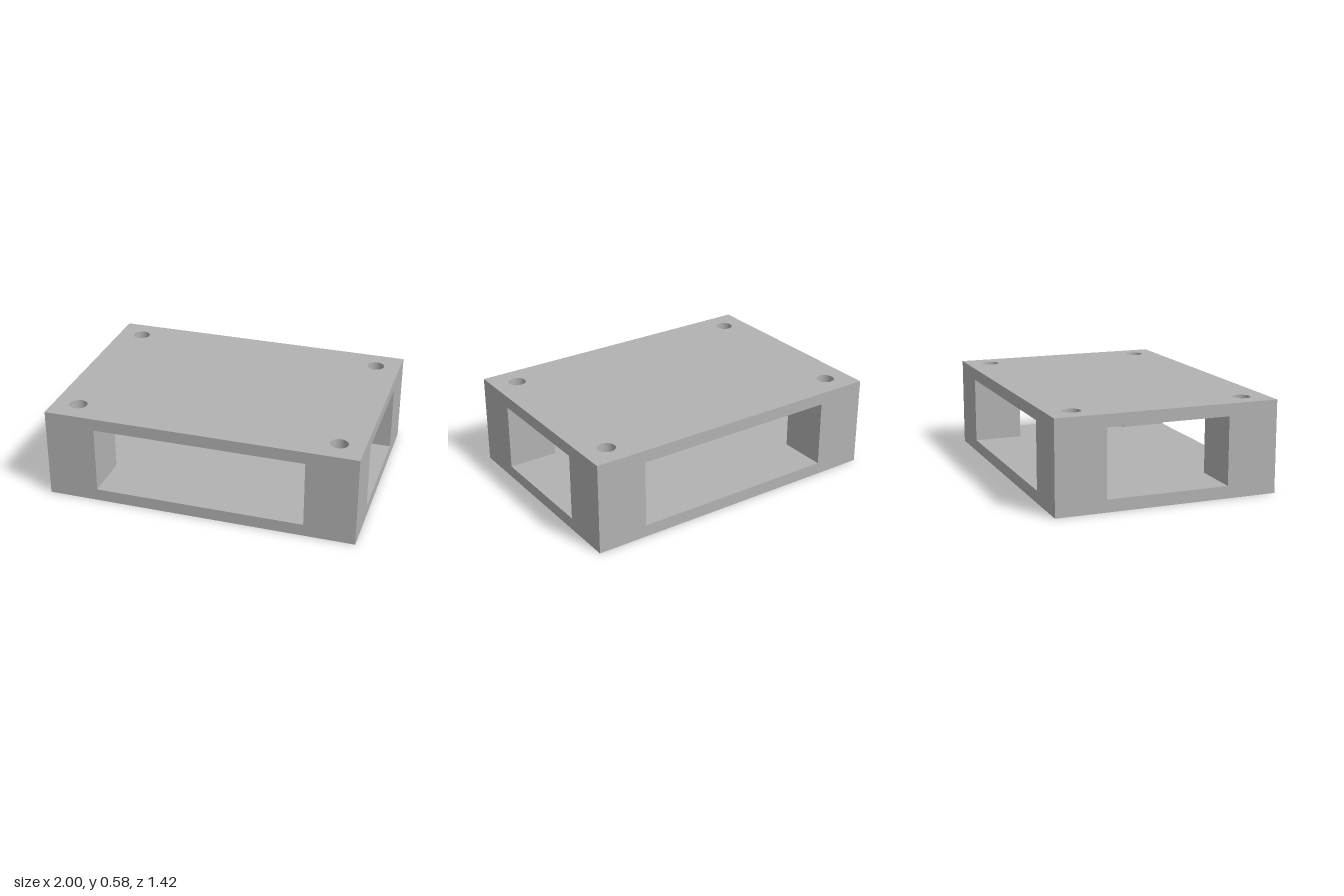
import * as THREE from 'three';

const HALF_X = 1, HALF_Z = 0.71, HEIGHT = 0.585, PLATE = 0.078;
const OPEN_X = 0.675, OPEN_Z = 0.39; // half widths of the window openings
const HOLE_X = 0.84, HOLE_Z = 0.55, HOLE_R = 0.056;

// Rectangle in plan with round holes, extruded upwards from y = 0
function drilledSlab(x0, x1, z0, z1, holes, height) {
  const shape = new THREE.Shape();
  shape.moveTo(x0, z0).lineTo(x1, z0).lineTo(x1, z1).lineTo(x0, z1).closePath();
  for (const [x, z] of holes) {
    const hole = new THREE.Path();
    hole.absarc(x, z, HOLE_R, 0, Math.PI * 2, true);
    shape.holes.push(hole);
  }
  const geometry = new THREE.ExtrudeGeometry(shape, { depth: height, bevelEnabled: false, curveSegments: 32 });
  return geometry.rotateX(-Math.PI / 2);
}

export function createModel() {
  const group = new THREE.Group();
  group.name = 'spacerBlock';
  const grey = new THREE.MeshStandardMaterial({ color: 0xb2b2b2 });
  grey.name = 'plain grey';

  const add = (name, geometry, y) => {
    const mesh = new THREE.Mesh(geometry, grey);
    mesh.name = name;
    mesh.position.y = y;
    group.add(mesh);
  };

  const corners = [[-1, -1], [1, -1], [1, 1], [-1, 1]];
  const holes = corners.map(([sx, sz]) => [sx * HOLE_X, sz * HOLE_Z]);

  // Bottom and top plates with a bolt hole at each corner
  add('bottomPlate', drilledSlab(-HALF_X, HALF_X, -HALF_Z, HALF_Z, holes, PLATE), 0);
  add('topPlate', drilledSlab(-HALF_X, HALF_X, -HALF_Z, HALF_Z, holes, PLATE), HEIGHT - PLATE);

  // Corner posts, bored through in line with the plates
  corners.forEach(([sx, sz], i) => {
    const xs = [sx * OPEN_X, sx * HALF_X].sort((a, b) => a - b);
    const zs = [sz * OPEN_Z, sz * HALF_Z].sort((a, b) => a - b);
    const name = (sz < 0 ? 'front' : 'back') + (sx > 0 ? 'Left' : 'Right') + 'Post';
    add(name, drilledSlab(...xs, ...zs, [holes[i]], HEIGHT - 2 * PLATE), PLATE);
  });

  return group;
}
